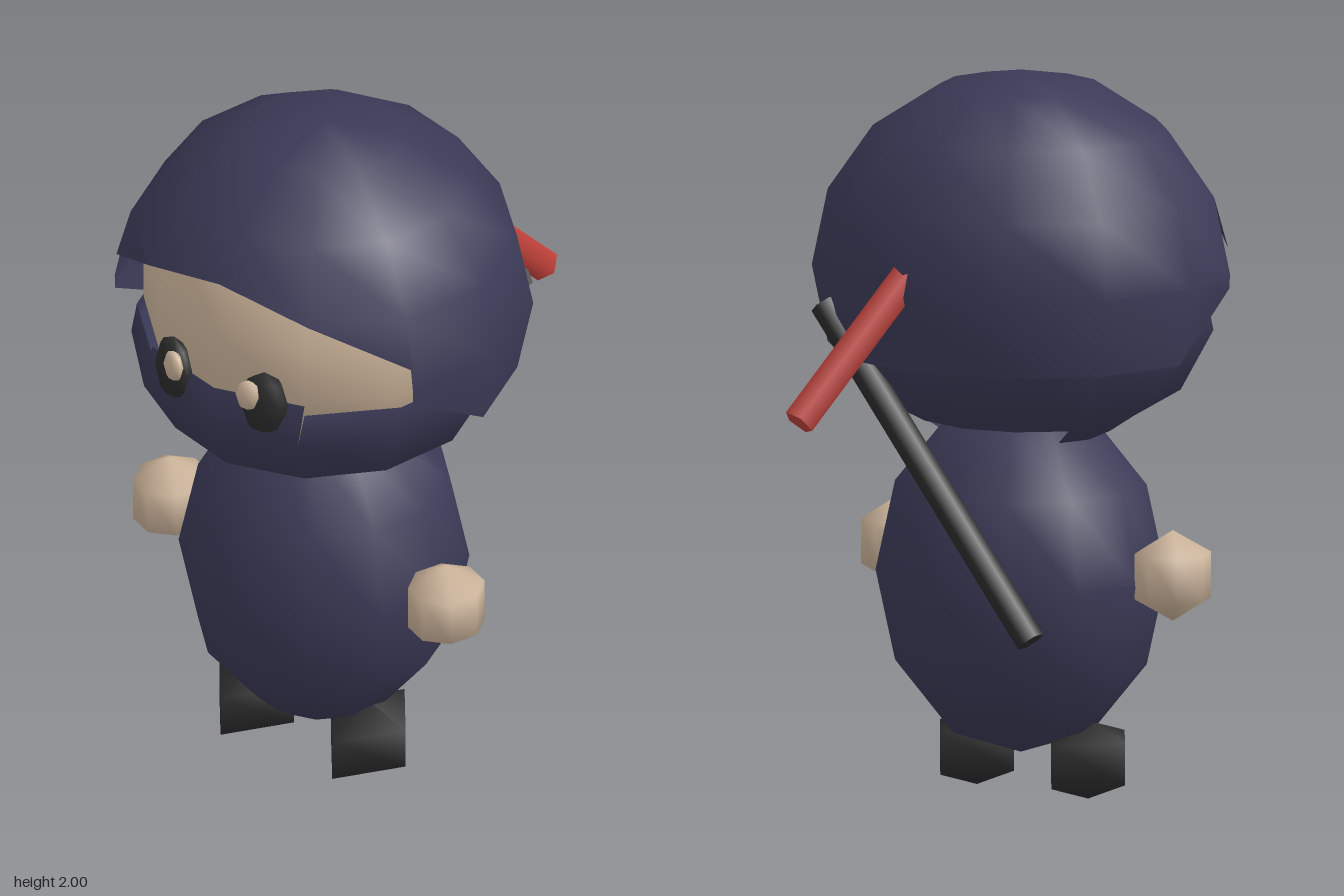
import * as THREE from 'three';
import { mergeVertices } from 'three/addons/utils/BufferGeometryUtils.js';

const MID_Z = 0.16; // depth of the head and body axis

function material(name, color, side = THREE.FrontSide) {
  const m = new THREE.MeshStandardMaterial({ color, side });
  m.name = name;
  return m;
}

// Twelve-sided smooth shell; point(segment, corner, row) gives a vertex or null to leave a gap
function shell(rows, point) {
  const pos = [];
  for (let i = -6; i < 6; i++) {
    for (let r = 0; r < rows - 1; r++) {
      const quad = [point(i, i, r), point(i, i, r + 1), point(i, i + 1, r + 1), point(i, i + 1, r)];
      if (quad.includes(null)) continue;
      for (const k of [0, 1, 2, 0, 2, 3]) pos.push(...quad[k]);
    }
  }
  const g = new THREE.BufferGeometry();
  g.setAttribute('position', new THREE.Float32BufferAttribute(pos, 3));
  const merged = mergeVertices(g, 1e-4);
  merged.computeVertexNormals();
  return merged;
}

export function createModel() {
  const model = new THREE.Group();
  model.name = 'maskedFigure';
  const cloth = material('navyCloth', 0x3b3a57, THREE.DoubleSide);
  const skin = material('skin', 0xcdb59b);
  const black = material('black', 0x2c2c2c);
  const red = material('red', 0xc0413a);

  function add(name, geometry, mat, [x, y, z] = [0, 0, 0], [sx, sy, sz] = [1, 1, 1], yaw = 0) {
    const m = new THREE.Mesh(geometry, mat);
    m.name = name;
    m.position.set(x, y, z);
    m.scale.set(sx, sy, sz);
    m.rotation.y = yaw;
    model.add(m);
    return m;
  }

  // Straight rod between two points
  function rod(name, from, to, radius, sides, mat) {
    const a = new THREE.Vector3(...from), b = new THREE.Vector3(...to);
    const dir = b.clone().sub(a);
    const m = add(name, new THREE.CylinderGeometry(radius, radius, dir.length(), sides), mat);
    m.position.copy(a).add(b).multiplyScalar(0.5);
    m.quaternion.setFromUnitVectors(new THREE.Vector3(0, 1, 0), dir.normalize());
  }

  // Body and head
  add('body', new THREE.SphereGeometry(1, 12, 6), cloth, [0, 0.615, MID_Z], [0.395, 0.495, 0.4]);
  add('head', new THREE.SphereGeometry(1, 12, 9), skin, [0, 1.48, MID_Z], [0.5, 0.48, 0.5]);

  // Hood: dome with a raised opening over the face
  const rimFront = [1.72, 1.66, 1.52], rimSide = [1.41, 1.23];
  const hood = shell(6, (seg, corner, row) => {
    const c = Math.abs(corner);
    const rimY = Math.abs(seg + 0.5) < 2 ? rimFront[c] : rimSide[Math.min(c - 2, 1)];
    const t = Math.min(row * Math.PI / 8, Math.acos((rimY - 1.45) / 0.55));
    const a = corner * Math.PI / 6;
    return [0.577 * Math.sin(t) * Math.sin(a), 1.45 + 0.55 * Math.cos(t), MID_Z + 0.555 * Math.sin(t) * Math.cos(a)];
  });
  add('hood', hood, cloth);

  // Mask rings: height, half width, front depth, back depth
  const rings = [[1.4, 0.51, 0.51, 0.5], [1.29, 0.515, 0.55, 0.52], [1.125, 0.43, 0.45, 0.42],
    [1.05, 0.3, 0.33, 0.27], [1.005, 0.23, 0.27, 0.2], [1, 0, 0, 0]];
  const mask = shell(rings.length, (seg, corner, row) => {
    const s = Math.abs(seg + 0.5);
    if (s > 4 && row > 3) return null; // open at the nape
    const [y, w, f, b] = rings[row];
    const a = corner * Math.PI / 6, c = Math.cos(a);
    return [w * Math.sin(a), row === 0 && s > 1 ? 1.37 : y, MID_Z + (c > 0 ? f : b) * c];
  });
  add('faceMask', mask, cloth);

  // Paired parts
  const foot = new THREE.LatheGeometry(
    [[0, 0], [1, 0.05], [1, 0.165], [0, 0.215]].map(p => new THREE.Vector2(...p)), 4);
  for (const [side, s] of [['left', 1], ['right', -1]]) {
    add(side + 'Foot', foot, black, [s * 0.187, 0.003, 0.213], [0.125, 1, 0.167]);
    add(side + 'Hand', new THREE.SphereGeometry(1, 8, 3), skin, [s * 0.46, 0.645, 0.23], [0.118, 0.125, 0.126]);
    add(side + 'Eye', new THREE.SphereGeometry(1, 8, 4), black, [s * 0.152, 1.395, 0.645], [0.068, 0.1, 0.04], s * 0.35);
    add(side + 'EyeGlint', new THREE.SphereGeometry(1, 8, 4), skin, [s * 0.125, 1.43, 0.683], [0.036, 0.048, 0.022], s * 0.35);
  }

  // Headband tail and the staff slung across the back
  rod('headbandTail', [-0.01, 1.57, -0.28], [0.13, 1.135, -0.68], 0.046, 5, red);
  rod('backStaff', [0.335, 1.385, -0.285], [-0.34, 0.52, -0.257], 0.04, 6, black);

  return model;
}
